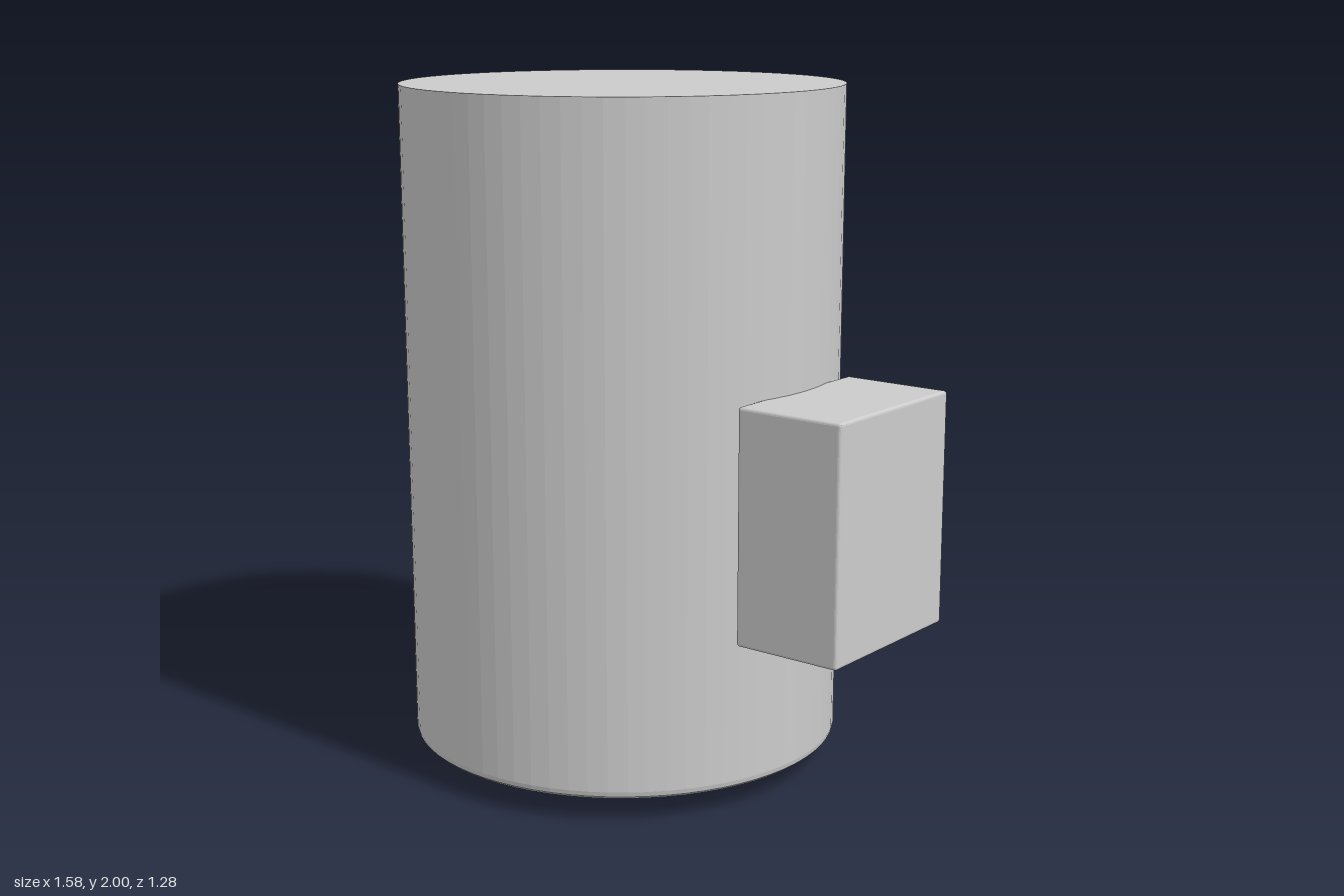
import * as THREE from 'three';
import { RoundedBoxGeometry } from 'three/addons/geometries/RoundedBoxGeometry.js';

export function createModel() {
  const group = new THREE.Group();
  const material = new THREE.MeshStandardMaterial({ color: 0xcccccc, flatShading: true });

  function add(name, geometry, x, y, z) {
    const mesh = new THREE.Mesh(geometry, material);
    mesh.name = name;
    mesh.position.set(x, y, z);
    group.add(mesh);
  }

  // Closed body turned in one piece: foot, sloped underside, rounded lower rim, flat top
  const profile = [
    [0, 0], [0.335, 0], [0.335, 0.035], [0.342, 0.043], [0.365, 0.047],
    [0.605, 0.065], [0.623, 0.069], [0.633, 0.078], [0.636, 0.092],
    [0.64, 2], [0, 2],
  ].map(([r, y]) => new THREE.Vector2(r, y));
  add('body', new THREE.LatheGeometry(profile, 72), -0.153, 0, 0);

  // Side box with slightly softened edges
  add('sideBox', new RoundedBoxGeometry(0.33, 0.674, 0.534, 2, 0.009), 0.625, 0.839, -0.002);

  return group;
}
